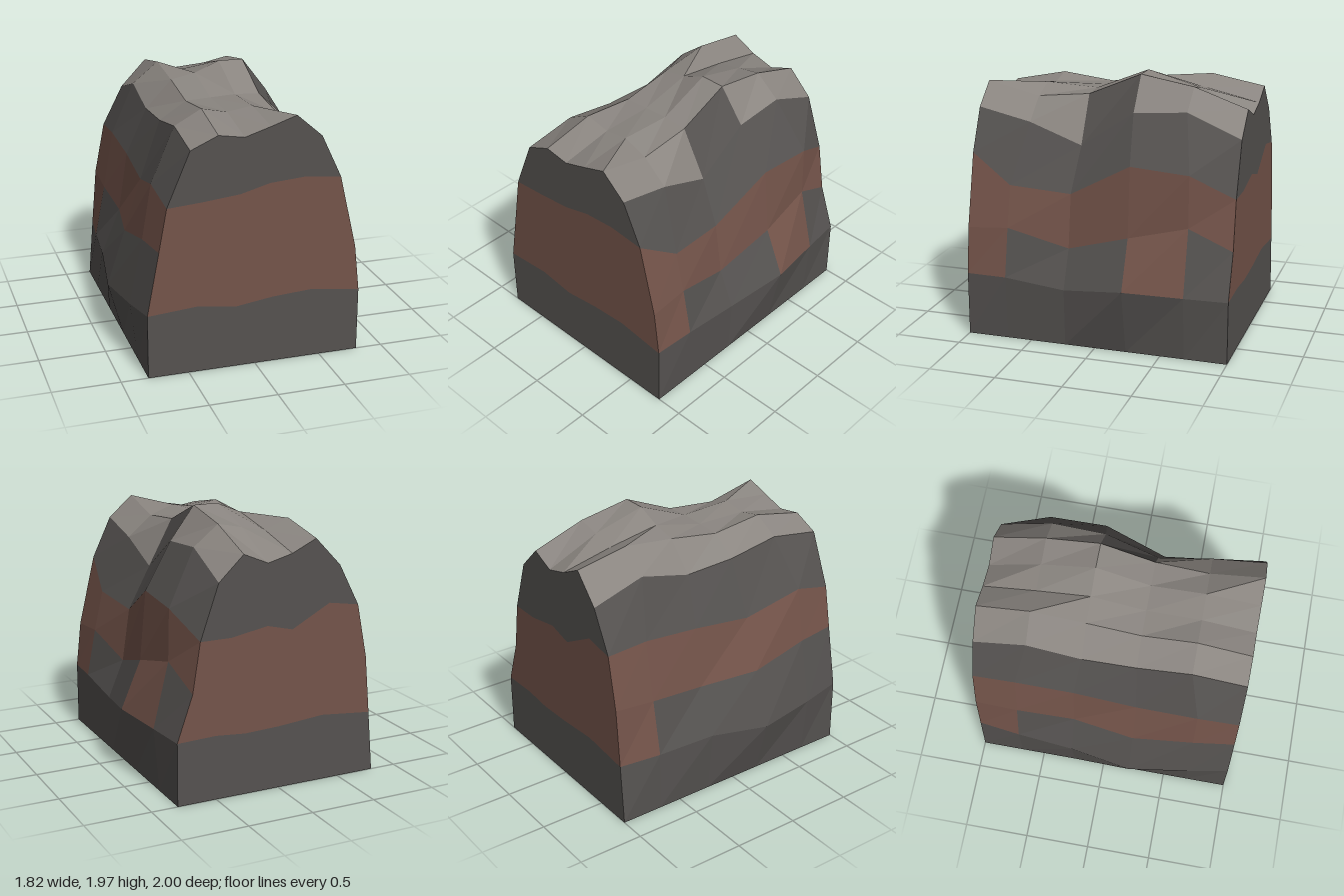
import * as THREE from 'three';

const material = (name, color) => {
  const m = new THREE.MeshStandardMaterial({ color, flatShading: true, side: THREE.DoubleSide });
  m.name = name;
  return m;
};

// Stations run from the front (z = 1) to the back (z = -1)
const TOP_Z = [1, 0.6, 0.2, -0.2, -0.6, -1];
const SIDE_Z = [1, 0.69, 0.23, -0.24, -0.68, -1];
const TOP_X = [0.48, 0.29, 0.1, -0.09, -0.28, -0.48];

// Crest heights per station, from the +x shoulder to the -x shoulder
const CREST = [
  [1.69, 1.855, 1.79, 1.73, 1.76, 1.67],
  [1.6, 1.76, 1.83, 1.8, 1.84, 1.73],
  [1.45, 1.8, 1.81, 1.8, 1.79, 1.66],
  [1.72, 1.97, 1.97, 1.89, 1.85, 1.64],
  [1.75, 1.9, 1.86, 1.82, 1.895, 1.735],
  [1.58, 1.76, 1.68, 1.73, 1.82, 1.61],
];

// Side rows [x, y] per station: low, mid, high
const RIGHT = [
  [[0.8, 0.48], [0.82, 0.485], [0.82, 0.435], [0.905, 0.5], [0.84, 0.48], [0.8, 0.47]],
  [[0.76, 0.83], [0.75, 0.85], [0.7, 0.72], [0.75, 0.86], [0.72, 0.965], [0.68, 0.81]],
  [[0.63, 1.375], [0.68, 1.16], [0.64, 1.12], [0.7, 1.38], [0.71, 1.35], [0.62, 1.18]],
];
const LEFT = [
  [[-0.8, 0.48], [-0.85, 0.45], [-0.91, 0.42], [-0.845, 0.48], [-0.8, 0.46], [-0.76, 0.46]],
  [[-0.71, 0.95], [-0.75, 0.94], [-0.77, 0.84], [-0.7, 0.83], [-0.72, 0.87], [-0.72, 0.9]],
  [[-0.65, 1.27], [-0.68, 1.35], [-0.64, 1.23], [-0.63, 1.28], [-0.64, 1.32], [-0.64, 1.3]],
];

// Wavy borders of the clay band on the end walls, from +x to -x
const BANDS = {
  front: {
    low: [[0.42, 0.53], [0.13, 0.51], [-0.15, 0.47], [-0.43, 0.51]],
    high: [[0.35, 1.4], [0.1, 1.38], [-0.12, 1.32], [-0.4, 1.29]],
  },
  back: {
    low: [[0.5, 0.48], [0.27, 0.46], [0, 0.47], [-0.36, 0.5]],
    high: [[0.38, 1.18], [0.1, 1.23], [-0.1, 1.18], [-0.4, 1.34]],
  },
};

// One cross-section from the +x foot over the crest to the -x foot
function section(i) {
  const side = ([x, y]) => [x, y, SIDE_Z[i]];
  return [
    [0.8, 0, SIDE_Z[i]],
    ...RIGHT.map((row) => side(row[i])),
    ...TOP_X.map((x, k) => [x, CREST[i][k], TOP_Z[i]]),
    ...[...LEFT].reverse().map((row) => side(row[i])),
    [-0.8, 0, SIDE_Z[i]],
  ];
}

// Colour of the cell in strip j behind station i
function cellKind(i, j) {
  if (j === 2 || j === 10) return 'clay';
  if (j === 1) return i === 0 || i === 3 ? 'clay' : 'rock';
  if (j === 11) return i === 4 ? 'clay' : 'rock';
  if (j === 4 && i === 2) return 'rock';
  return j >= 4 && j <= 8 ? 'stone' : 'rock';
}

// Flat end wall piece at z = 1 or z = -1
function wall(points, z) {
  const shape = new THREE.Shape(points.map(([x, y]) => new THREE.Vector2(x * z, y)));
  const g = new THREE.ShapeGeometry(shape);
  if (z < 0) g.rotateY(Math.PI);
  return g.translate(0, 0, z);
}

export function createModel() {
  const group = new THREE.Group();
  group.name = 'rockBlock';
  const mats = {
    rock: material('darkRock', 0x555250),
    clay: material('brownClay', 0x74544a),
    stone: material('paleStone', 0x8a8580),
  };
  const add = (name, geometry, kind) => {
    const mesh = new THREE.Mesh(geometry, mats[kind]);
    mesh.name = name;
    group.add(mesh);
  };

  // Sides and crest, gathered by colour
  const rings = TOP_Z.map((_, i) => section(i));
  const cells = { rock: [], clay: [], stone: [] };
  for (let i = 0; i < 5; i++) {
    for (let j = 0; j < 13; j++) {
      const a = rings[i][j], b = rings[i + 1][j];
      const c = rings[i + 1][j + 1], d = rings[i][j + 1];
      cells[cellKind(i, j)].push(...a, ...b, ...c, ...a, ...c, ...d);
    }
  }
  const names = { rock: 'rockSides', clay: 'clayBand', stone: 'stoneCrest' };
  for (const kind of Object.keys(cells)) {
    const g = new THREE.BufferGeometry();
    g.setAttribute('position', new THREE.Float32BufferAttribute(cells[kind], 3));
    g.computeVertexNormals();
    add(names[kind], g, kind);
  }

  // End walls: foot, clay band and upper rock
  for (const [end, z, i] of [['front', 1, 0], ['back', -1, 5]]) {
    const p = rings[i];
    const low = [p[1], ...BANDS[end].low, p[12]];
    const high = [p[3], ...BANDS[end].high, p[10]];
    add(end + 'Foot', wall([p[0], ...low, p[13]], z), 'rock');
    add(end + 'Band', wall([p[2], ...high, p[11], ...[...low].reverse()], z), 'clay');
    add(end + 'Upper', wall([...p.slice(3, 11), ...[...high].reverse().slice(1, -1)], z), 'rock');
  }
  return group;
}
